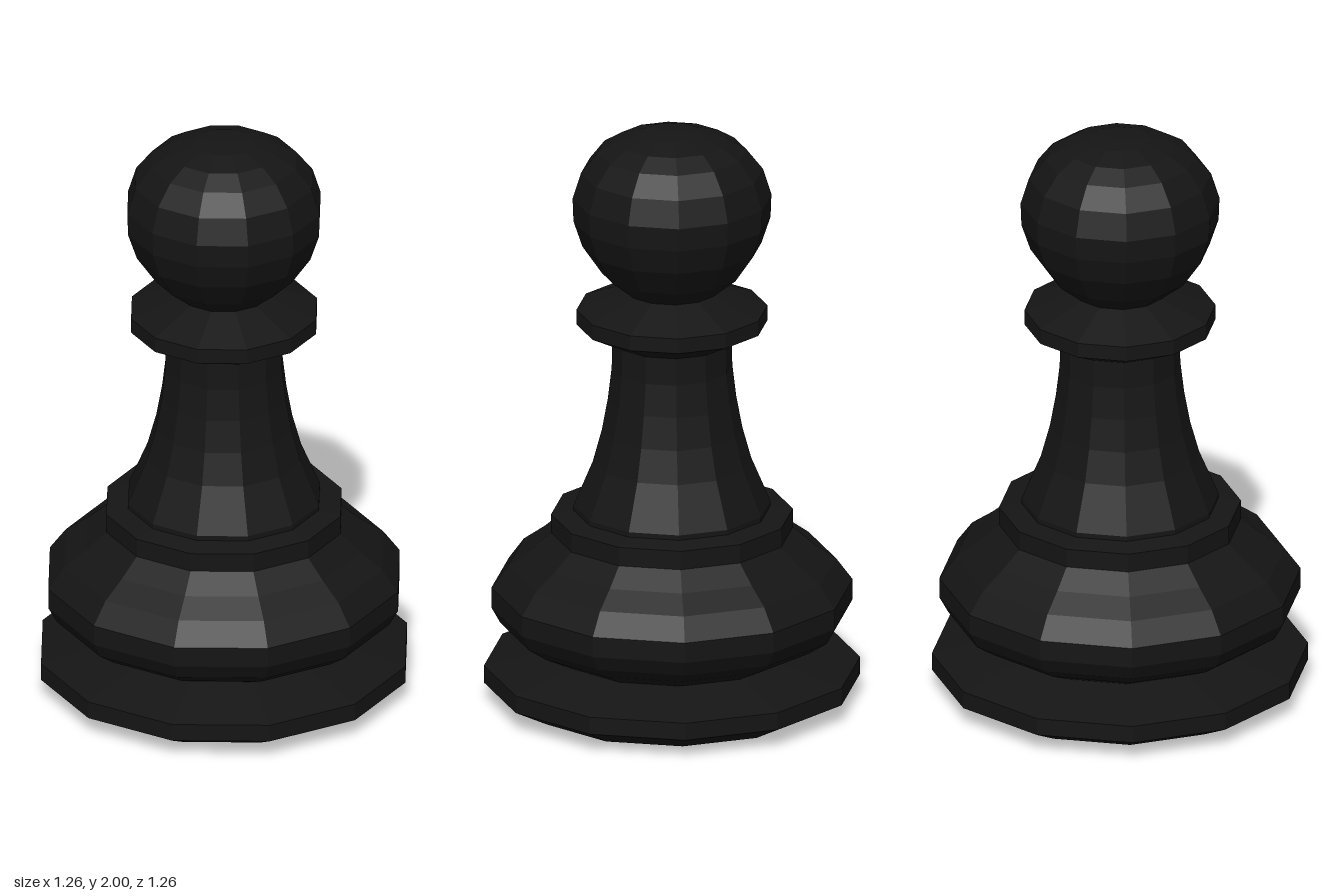
import * as THREE from 'three';

const SIDES = 12;

// Profiles run from bottom to top as [radius, height].
const PROFILES = {
  base: [[0, 0], [0.505, 0], [0.63, 0.065], [0.63, 0.125], [0.405, 0.178]],
  bulge: [[0.405, 0.178], [0.51, 0.23], [0.575, 0.275], [0.605, 0.33], [0.605, 0.4],
    [0.55, 0.475], [0.475, 0.53], [0.405, 0.59]],
  lowerCollar: [[0.405, 0.59], [0.405, 0.655], [0.33, 0.668]],
  stem: [[0.33, 0.668], [0.33, 0.685], [0.265, 0.84], [0.235, 0.95], [0.215, 1.06],
    [0.202, 1.17], [0.2, 1.265]],
  upperCollar: [[0.2, 1.265], [0.32, 1.325], [0.32, 1.377], [0.155, 1.44]],
  head: [[0.155, 1.44], [0.235, 1.505], [0.3, 1.6], [0.33, 1.69], [0.333, 1.77],
    [0.305, 1.86], [0.25, 1.93], [0.185, 1.97], [0.1, 1.996], [0, 2]],
};

export function createModel() {
  const group = new THREE.Group();
  group.name = 'pawn';
  const material = new THREE.MeshStandardMaterial({ color: 0x151515, flatShading: true });

  // Each turned section is a twelve-sided lathe with corners on the axes.
  for (const [name, profile] of Object.entries(PROFILES)) {
    const points = profile.map(([r, y]) => new THREE.Vector2(r, y));
    const mesh = new THREE.Mesh(new THREE.LatheGeometry(points, SIDES), material);
    mesh.name = name;
    group.add(mesh);
  }
  return group;
}
